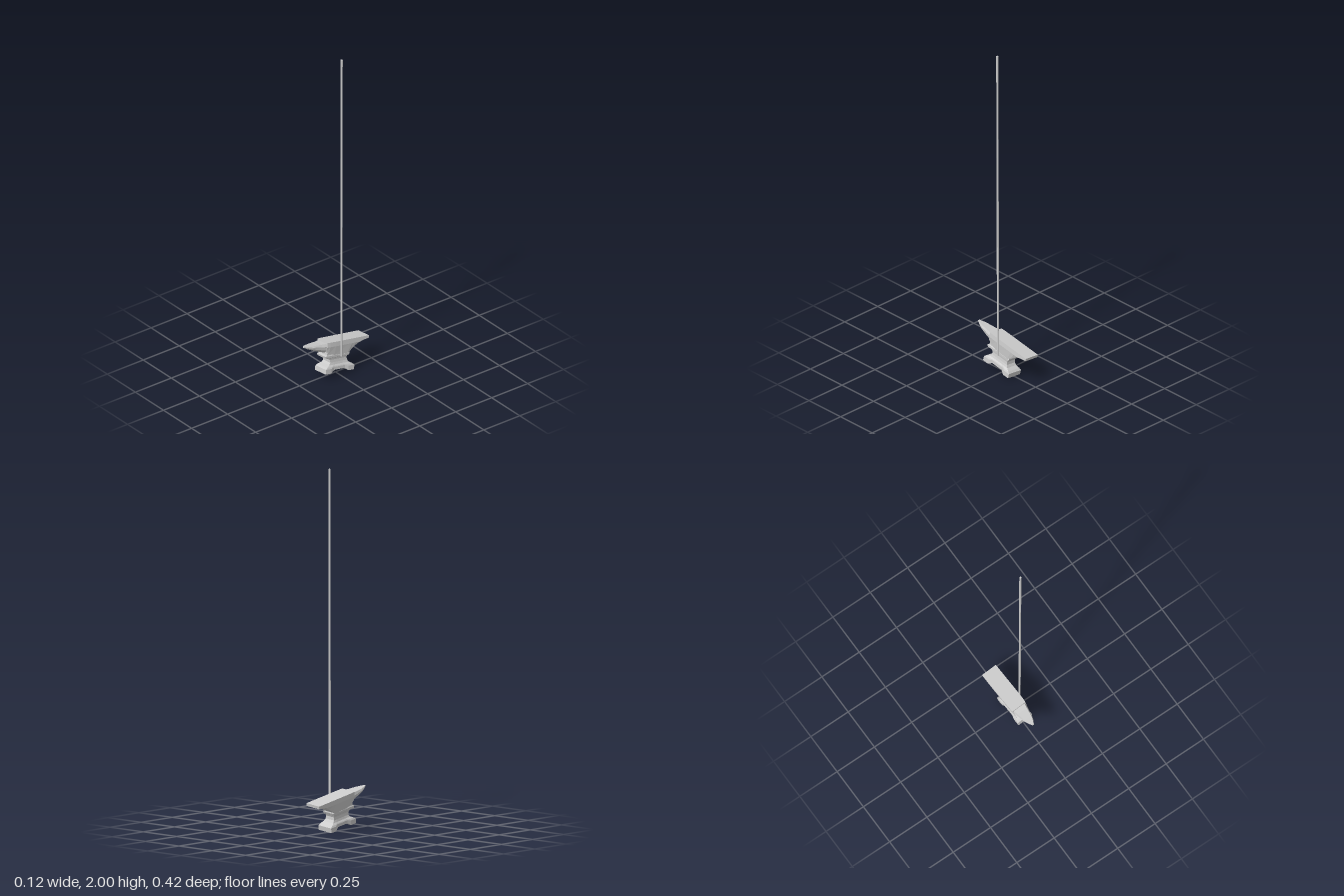
import * as THREE from 'three';

const grey = new THREE.MeshStandardMaterial({ color: 0xcccccc, flatShading: true });

// Skins a list of rings; each ring runs along its +x side, then back along its -x side.
function loft(name, rings) {
  const n = rings[0].length, half = n / 2, pos = [], idx = [];
  rings.forEach(r => r.forEach(p => pos.push(...p)));
  const quad = (a, b, c, d) => idx.push(a, b, c, a, c, d);
  for (let r = 0; r < rings.length - 1; r++) {
    for (let i = 0; i < n; i++) {
      const j = (i + 1) % n, a = r * n, b = a + n;
      quad(a + i, b + i, b + j, a + j);
    }
  }
  const end = (rings.length - 1) * n;
  for (let i = 0; i < half - 1; i++) {
    const p = i, p2 = i + 1, q2 = n - 2 - i, q = n - 1 - i;
    quad(p, p2, q2, q);
    quad(end + q, end + q2, end + p2, end + p);
  }
  const g = new THREE.BufferGeometry();
  g.setAttribute('position', new THREE.Float32BufferAttribute(pos, 3));
  g.setIndex(idx);
  g.computeVertexNormals();
  const mesh = new THREE.Mesh(g, grey);
  mesh.name = name;
  return mesh;
}

const mirrorRing = side => [...side, ...side.slice().reverse().map(([x, y, z]) => [-x, y, z])];

export function createModel() {
  const model = new THREE.Group();
  model.name = 'hangingAnvil';
  const anvil = new THREE.Group();
  anvil.name = 'anvil';

  // Foot, waist and collar: [height, half width, back z, front z, arch lift, side inset]
  const pedestal = [
    [0, 0.047, -0.1, 0.1, 0.016, 0.006],
    [0.027, 0.047, -0.1, 0.1, 0.006, 0.006],
    [0.036, 0.043, -0.088, 0.088, 0.002, 0.004],
    [0.045, 0.035, -0.069, 0.069, 0, 0.001],
    [0.058, 0.031, -0.058, 0.06, 0, 0],
    [0.074, 0.03, -0.054, 0.062, 0, 0],
    [0.084, 0.032, -0.057, 0.072, 0, 0],
    [0.088, 0.037, -0.064, 0.098, 0, 0],
    [0.1, 0.038, -0.068, 0.103, 0, 0],
    [0.106, 0.035, -0.066, 0.09, 0, 0],
    [0.125, 0.036, -0.066, 0.09, 0, 0],
  ].map(([y, w, zb, zf, lift, inset]) => mirrorRing(
    [-1, -0.6, -0.38, 0.38, 0.6, 1].map(f => {
      const k = Math.abs(f) < 0.5 ? 1 : 0;
      return [w - k * inset, y + k * lift, (zb + zf) / 2 + f * (zf - zb) / 2];
    })));
  anvil.add(loft('pedestal', pedestal));

  // Table and heel, front to back: [z, half width, underside y, underside half width]
  const table = [
    [0.1, 0.044, 0.13, 0.037],
    [0.08, 0.046, 0.115, 0.037],
    [0.04, 0.047, 0.102, 0.037],
    [-0.052, 0.047, 0.095, 0.037],
    [-0.076, 0.047, 0.115, 0.038],
    [-0.1, 0.047, 0.135, 0.039],
    [-0.125, 0.047, 0.149, 0.041],
    [-0.155, 0.047, 0.16, 0.043],
    [-0.19, 0.047, 0.166, 0.045],
  ].map(([z, w, yb, wb]) => mirrorRing(
    [[wb, yb, z], [w, Math.max(0.155, yb + 0.002), z], [w, 0.182, z]]));
  anvil.add(loft('tableAndHeel', table));

  // Horn, tip to root: [z, half width, bottom y, top y]
  const horn = [
    [0.233, 0.005, 0.163, 0.172],
    [0.21, 0.017, 0.153, 0.172],
    [0.182, 0.027, 0.143, 0.172],
    [0.13, 0.036, 0.127, 0.173],
    [0.096, 0.043, 0.12, 0.176],
  ].map(([z, w, yb, yt]) => mirrorRing([
    [w * 0.45, yb, z], [w * 0.88, yb + (yt - yb) * 0.32, z],
    [w, yb + (yt - yb) * 0.7, z], [w * 0.85, yt, z],
  ]));
  anvil.add(loft('horn', horn));

  // The anvil hangs nose up and leaning sideways
  anvil.rotation.set(-0.175, 0, 0.115);
  anvil.position.set(0.0075, 0.023, 0.012);
  model.add(anvil);

  // Long thin rod fixed beside the waist
  const bottom = new THREE.Vector3(0.049, 0.12, -0.004);
  const top = new THREE.Vector3(0.053, 2, -0.002);
  const dir = top.clone().sub(bottom);
  const rod = new THREE.Mesh(new THREE.CylinderGeometry(0.006, 0.006, dir.length(), 8), grey);
  rod.name = 'rod';
  rod.position.copy(bottom).add(top).multiplyScalar(0.5);
  rod.quaternion.setFromUnitVectors(new THREE.Vector3(0, 1, 0), dir.normalize());
  model.add(rod);

  return model;
}
